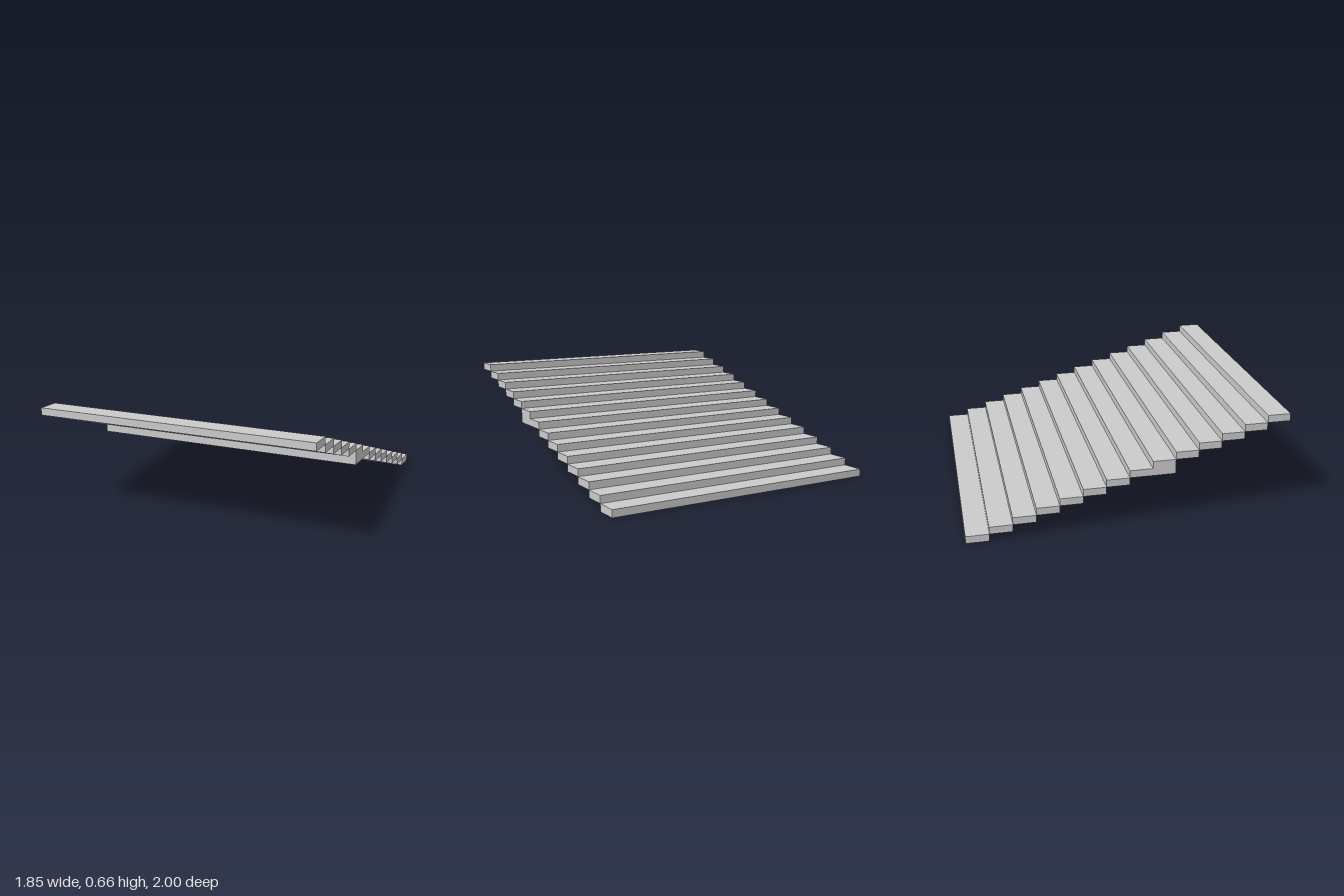
import * as THREE from 'three';

const STEPS = 14;
const WIDTH = 1.845;
const DEPTH = 2 / STEPS;
const RISE = 0.664 / STEPS;
const LANDING = 8; // index of the double-thickness step

export function createModel() {
  const group = new THREE.Group();
  group.name = 'staircase';
  const material = new THREE.MeshStandardMaterial({ color: 0xcccccc, flatShading: true });

  // Slab steps climbing from the back to the front
  for (let i = 0; i < STEPS; i++) {
    const thick = i === LANDING ? RISE * 2 : RISE;
    const step = new THREE.Mesh(new THREE.BoxGeometry(WIDTH, thick, DEPTH), material);
    step.name = i === LANDING ? 'thickStep' : `step${i + 1}`;
    step.position.set(0, (i + 1) * RISE - thick / 2, -1 + (i + 0.5) * DEPTH);
    group.add(step);
  }
  return group;
}
